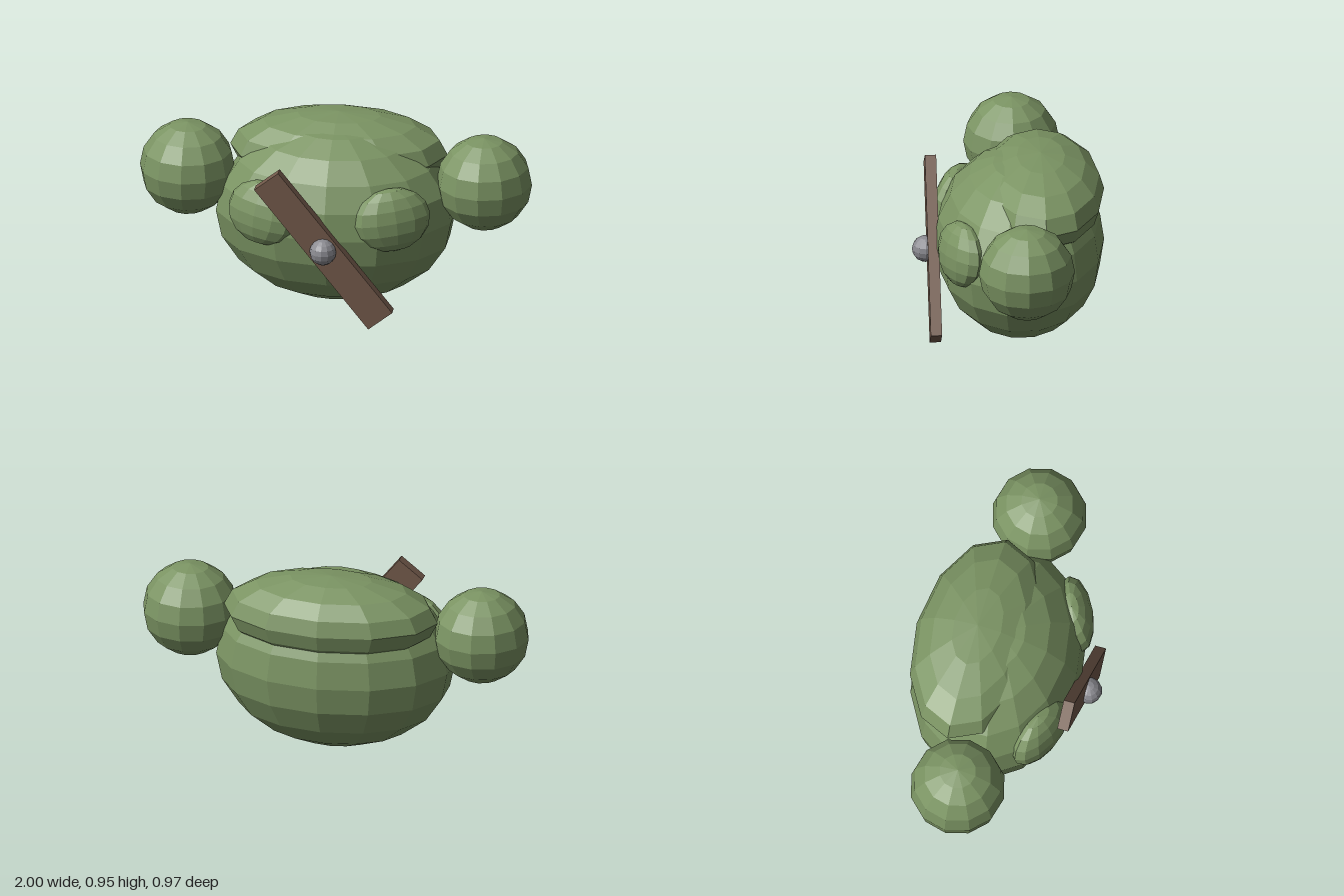
import * as THREE from 'three';

const flat = (name, color) => {
  const m = new THREE.MeshStandardMaterial({ color, flatShading: true });
  m.name = name;
  return m;
};

export function createModel() {
  const group = new THREE.Group();
  const green = flat('mossGreen', 0x7b9463);
  const brown = flat('woodBrown', 0x72594a);
  const grey = flat('stoneGrey', 0x8a8a90);

  // Faceted ellipsoid; spin turns the segments before scaling
  function ellipsoid(name, material, radii, position, cols = 12, rows = 8, spin = 0) {
    const geometry = new THREE.SphereGeometry(1, cols, rows).rotateY(spin).scale(...radii);
    const mesh = new THREE.Mesh(geometry, material);
    mesh.name = name;
    mesh.position.set(...position);
    group.add(mesh);
    return mesh;
  }

  // Main head mass and the brow cap set on its upper back
  ellipsoid('head', green, [0.615, 0.46, 0.43], [0, 0.46, -0.055], 14, 10, Math.PI / 2);
  ellipsoid('cap', green, [0.555, 0.208, 0.32], [0, 0.745, -0.165]);

  // Mirrored ears and cheeks
  for (const [side, s] of [['left', 1], ['right', -1]]) {
    ellipsoid(side + 'Ear', green, [0.243, 0.243, 0.243], [s * 0.757, 0.653, -0.055]);
    const cheek = ellipsoid(side + 'Cheek', green, [0.2, 0.165, 0.09], [s * 0.33, 0.555, 0.255]);
    cheek.rotation.set(-0.15, s * 0.4, s * 0.15);
  }

  // Slanted bar across the front, with a round stud
  const bar = new THREE.Mesh(new THREE.BoxGeometry(0.156, 0.935, 0.057), brown);
  bar.name = 'bar';
  bar.position.set(0, 0.425, 0.381);
  bar.rotation.z = THREE.MathUtils.degToRad(38.5);
  group.add(bar);
  ellipsoid('stud', grey, [0.068, 0.068, 0.068], [0, 0.427, 0.419]);

  return group;
}
